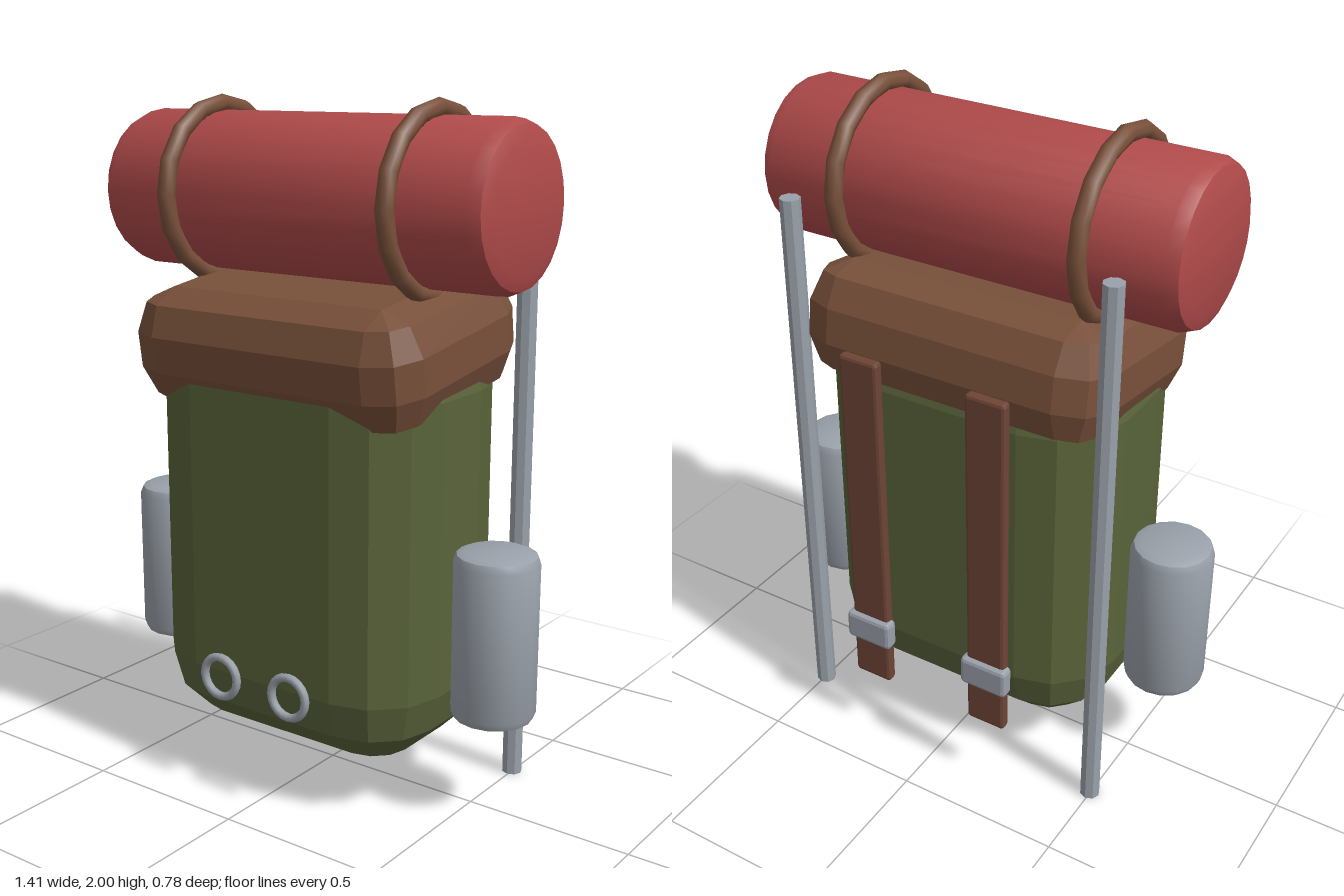
import * as THREE from 'three';
import { toCreasedNormals } from 'three/addons/utils/BufferGeometryUtils.js';
import { ConvexGeometry } from 'three/addons/geometries/ConvexGeometry.js';

const mat = (name, color) => {
  const m = new THREE.MeshStandardMaterial({ color });
  m.name = name;
  return m;
};

// Box with bevelled edges: the hull of a faceted sphere octant at each corner
function bevelBox(w, h, d, r, n) {
  const pts = [];
  for (const sx of [-1, 1]) for (const sy of [-1, 1]) for (const sz of [-1, 1]) {
    for (let i = 0; i <= n; i++) {
      const lat = (i / n) * Math.PI / 2;
      const steps = i === n ? 0 : n;
      for (let j = 0; j <= steps; j++) {
        const lon = (j / n) * Math.PI / 2;
        pts.push(new THREE.Vector3(
          sx * (w / 2 - r + r * Math.cos(lat) * Math.cos(lon)),
          sy * (h / 2 - r + r * Math.sin(lat)),
          sz * (d / 2 - r + r * Math.cos(lat) * Math.sin(lon))
        ));
      }
    }
  }
  return new ConvexGeometry(pts);
}

// Upright cylinder with bevelled rims
function bevelCylinder(radius, length, bevel, sides) {
  const profile = [new THREE.Vector2(0, -length / 2)];
  for (const end of [-1, 1]) {
    for (let i = 0; i <= 2; i++) {
      const a = (end < 0 ? i : 2 - i) * Math.PI / 4;
      profile.push(new THREE.Vector2(
        radius - bevel + bevel * Math.sin(a),
        end * (length / 2 - bevel + bevel * Math.cos(a))
      ));
    }
  }
  profile.push(new THREE.Vector2(0, length / 2));
  return toCreasedNormals(new THREE.LatheGeometry(profile, sides), 0.6);
}

export function createModel() {
  const group = new THREE.Group();
  group.name = 'backpack';
  const green = mat('green canvas', 0x59633a);
  const brown = mat('brown flap leather', 0x78503a);
  const strapBrown = mat('dark strap leather', 0x6d4535);
  const red = mat('red blanket', 0xb04a4a);
  const metal = mat('grey metal', 0x9aa1aa);

  const add = (name, geometry, material, x, y, z) => {
    const mesh = new THREE.Mesh(geometry, material);
    mesh.name = name;
    mesh.position.set(x, y, z);
    group.add(mesh);
    return mesh;
  };

  // Main bag and tilted top flap
  add('bag', bevelBox(0.93, 1.285, 0.63, 0.22, 3), green, 0, 0.7875, 0.035);
  const flap = add('flap', bevelBox(0.96, 0.345, 0.67, 0.12, 2), brown, 0, 1.327, 0.037);
  flap.rotation.x = THREE.MathUtils.degToRad(8);

  // Bedroll lying across the top
  const roll = add('bedroll', bevelCylinder(0.23, 1.3, 0.05, 24), red, 0, 1.725, 0.037);
  roll.rotation.z = Math.PI / 2;

  // Paired parts
  for (const s of [-1, 1]) {
    const side = s > 0 ? 'left' : 'right';

    const band = add(side + 'BedrollBand', new THREE.TorusGeometry(0.249, 0.026, 8, 16), brown, s * 0.373, 1.725, 0.037);
    band.rotation.y = Math.PI / 2;

    const pole = toCreasedNormals(new THREE.CylinderGeometry(0.03, 0.03, 1.71, 8), 0.6);
    add(side + 'FramePole', pole, metal, s * 0.497, 0.855, -0.245);

    add(side + 'Canteen', bevelCylinder(0.121, 0.492, 0.03, 16), metal, s * 0.585, 0.549, 0.035);

    add(side + 'ShoulderStrap', bevelBox(0.125, 1.115, 0.034, 0.01, 2), strapBrown, s * 0.203, 0.793, -0.356);
    add(side + 'Buckle', bevelBox(0.152, 0.092, 0.045, 0.012, 2), metal, s * 0.203, 0.422, -0.368);

    add(side + 'FrontRing', new THREE.TorusGeometry(0.06, 0.0125, 8, 20), metal, s * 0.124, 0.362, 0.378);
  }

  return group;
}
